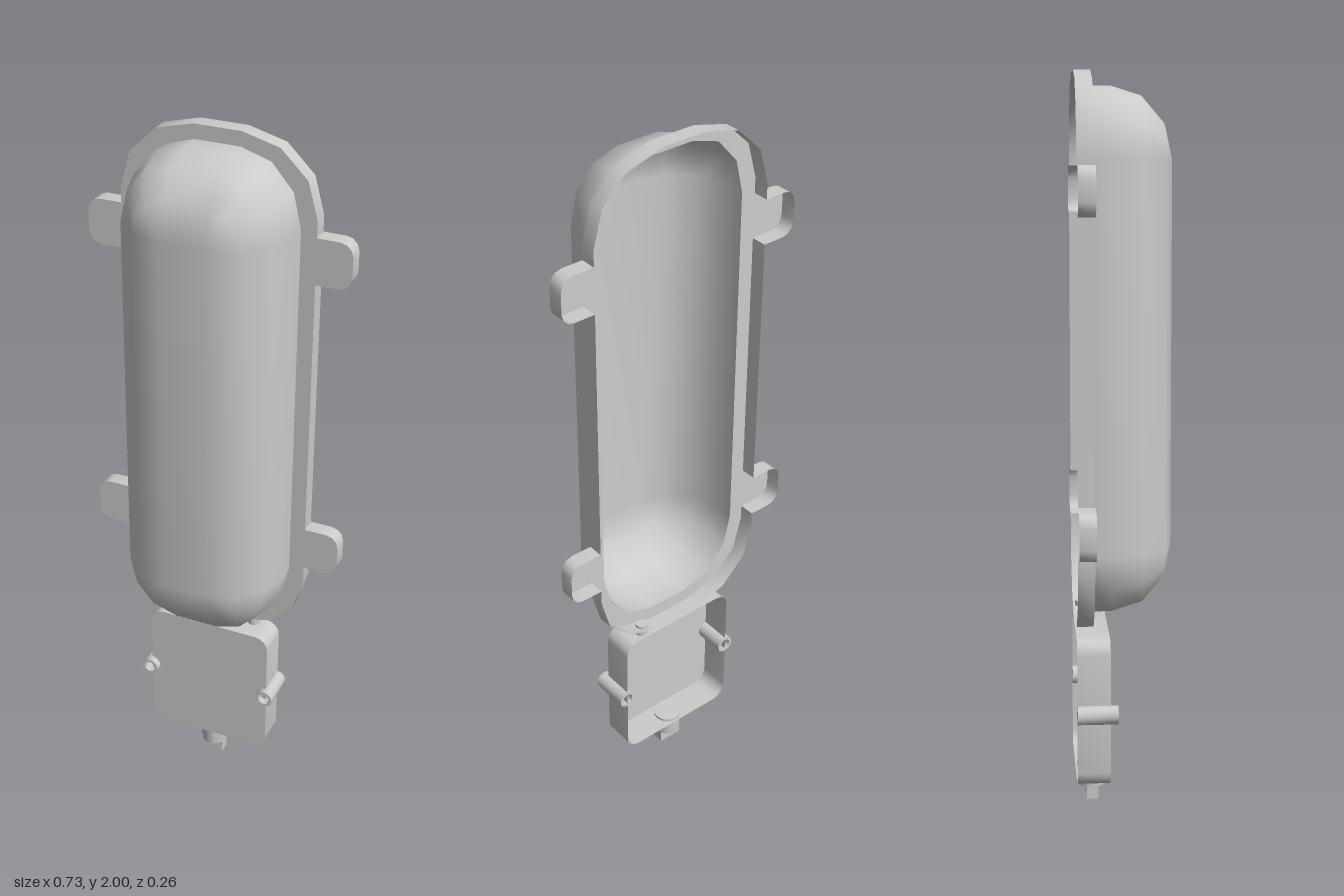
import * as THREE from 'three';
import { mergeVertices, toCreasedNormals } from 'three/addons/utils/BufferGeometryUtils.js';

const material = new THREE.MeshStandardMaterial({ color: 0xcccccc, side: THREE.DoubleSide });
const BACK = -0.13, MID_Y = 1.255;

function mesh(name, geometry, x = 0, y = 0, z = 0) {
  const m = new THREE.Mesh(geometry, material);
  m.name = name;
  m.position.set(x, y, z);
  return m;
}

// Counter-clockwise rounded rectangle: corner centres at (+-cx, +-cy), elliptical radii rx, ry
function roundedLoop(cx, cy, rx, ry, seg, y0 = 0) {
  const pts = [];
  for (let q = 0; q < 4; q++) {
    const sx = q === 0 || q === 3 ? 1 : -1, sy = q < 2 ? 1 : -1;
    for (let i = 0; i <= seg; i++) {
      const a = (q + i / seg) * Math.PI / 2;
      pts.push(new THREE.Vector2(sx * cx + rx * Math.cos(a), y0 + sy * cy + ry * Math.sin(a)));
    }
  }
  return pts;
}

// Open wall running along a loop from the back plane to zFront
function wall(pts, zFront) {
  const pos = [];
  pts.forEach((p, i) => {
    const q = pts[(i + 1) % pts.length];
    pos.push(p.x, p.y, BACK, q.x, q.y, BACK, q.x, q.y, zFront);
    pos.push(p.x, p.y, BACK, q.x, q.y, zFront, p.x, p.y, zFront);
  });
  const g = new THREE.BufferGeometry();
  g.setAttribute('position', new THREE.Float32BufferAttribute(pos, 3));
  return toCreasedNormals(g, 0.6);
}

// Tray open at the back: face plate (optionally pierced) plus its skirt
function tray(name, pts, zFront, hole) {
  const group = new THREE.Group();
  group.name = name;
  const shape = new THREE.Shape(pts);
  if (hole) shape.holes.push(new THREE.Path(hole));
  group.add(mesh(name + 'Plate', new THREE.ShapeGeometry(shape), 0, 0, zFront));
  group.add(mesh(name + 'Skirt', wall(pts, zFront)));
  return group;
}

// Flange outline with two rounded tabs on each side
function flangeLoop() {
  const loop = roundedLoop(0.065, 0.545, 0.205, 0.2, 3, MID_Y);
  const side = (s) => {
    const out = [];
    for (const c of [-s, s]) {
      const y = MID_Y + c * 0.4365, h = 0.064, r = 0.036, x = 0.367;
      out.push(new THREE.Vector2(s * 0.27, y - s * h));
      for (const e of [-1, 1]) {
        for (let i = 0; i <= 3; i++) {
          const a = (e < 0 ? i - 3 : i) * Math.PI / 6;
          out.push(new THREE.Vector2(s * (x - r + r * Math.cos(a)), y + s * (e * (h - r) + r * Math.sin(a))));
        }
      }
      out.push(new THREE.Vector2(s * 0.27, y + s * h));
    }
    return out;
  };
  // right-hand tabs start the loop, the others follow the second corner
  return [...side(1), ...loop.slice(0, 8), ...side(-1), ...loop.slice(8)];
}

// Bulging cover: rounded sections shrinking toward the front
const BOWL = { cx: 0.062, cy: 0.515, rx: 0.165, ry: 0.19 };
function bowlGeometry() {
  const levels = [[-0.085, 1], [-0.033, 1]];
  for (let i = 1; i <= 3; i++) {
    const a = i * Math.PI / 6;
    levels.push([-0.033 + 0.163 * Math.sin(a), i === 3 ? 0 : Math.cos(a)]);
  }
  const pos = [], idx = [], n = 16;
  levels.forEach(([z, f], k) => {
    roundedLoop(BOWL.cx, BOWL.cy, BOWL.rx * f, BOWL.ry * f, 3, MID_Y).forEach(p => pos.push(p.x, p.y, z));
    if (k === 0) return;
    for (let j = 0; j < n; j++) {
      const a = (k - 1) * n + j, b = (k - 1) * n + (j + 1) % n;
      idx.push(a, b, b + n, a, b + n, a + n);
    }
  });
  const t = (levels.length - 1) * n;
  idx.push(t, t + 4, t + 8, t, t + 8, t + 12);
  let g = new THREE.BufferGeometry();
  g.setAttribute('position', new THREE.Float32BufferAttribute(pos, 3));
  g.setIndex(idx);
  g = mergeVertices(g, 1e-5);
  g.computeVertexNormals();
  return g;
}

// Hollow screw sleeve along z
function sleeveGeometry() {
  const profile = [[0.017, 0], [0.026, 0], [0.026, 0.11], [0.017, 0.11], [0.017, 0]];
  const g = new THREE.LatheGeometry(profile.map(p => new THREE.Vector2(...p)), 12);
  g.rotateX(Math.PI / 2);
  return toCreasedNormals(g, 0.7);
}

export function createModel() {
  const model = new THREE.Group();
  model.name = 'coverWithJunctionBox';

  // Long cover and its flange
  const rim = roundedLoop(BOWL.cx, BOWL.cy, BOWL.rx, BOWL.ry, 3, MID_Y);
  model.add(mesh('coverBowl', bowlGeometry()));
  model.add(tray('flange', flangeLoop(), -0.085, rim));

  // Junction box with a sleeve on each side
  model.add(tray('junctionBox', roundedLoop(0.145, 0.165, 0.04, 0.04, 4, 0.295), -0.04));
  for (const s of [-1, 1]) {
    model.add(mesh(s > 0 ? 'leftSleeve' : 'rightSleeve', sleeveGeometry(), s * 0.185, 0.295, BACK));
  }

  // Link between box and cover, and the plug underneath
  model.add(mesh('linkPin', new THREE.CylinderGeometry(0.017, 0.017, 0.045, 12), 0.115, 0.513, -0.107));
  model.add(mesh('plugCollar', new THREE.CylinderGeometry(0.04, 0.037, 0.063, 16), 0, 0.0665, -0.085));
  model.add(mesh('plugTongue', new THREE.BoxGeometry(0.07, 0.036, 0.034), 0, 0.018, -0.083));
  return model;
}
